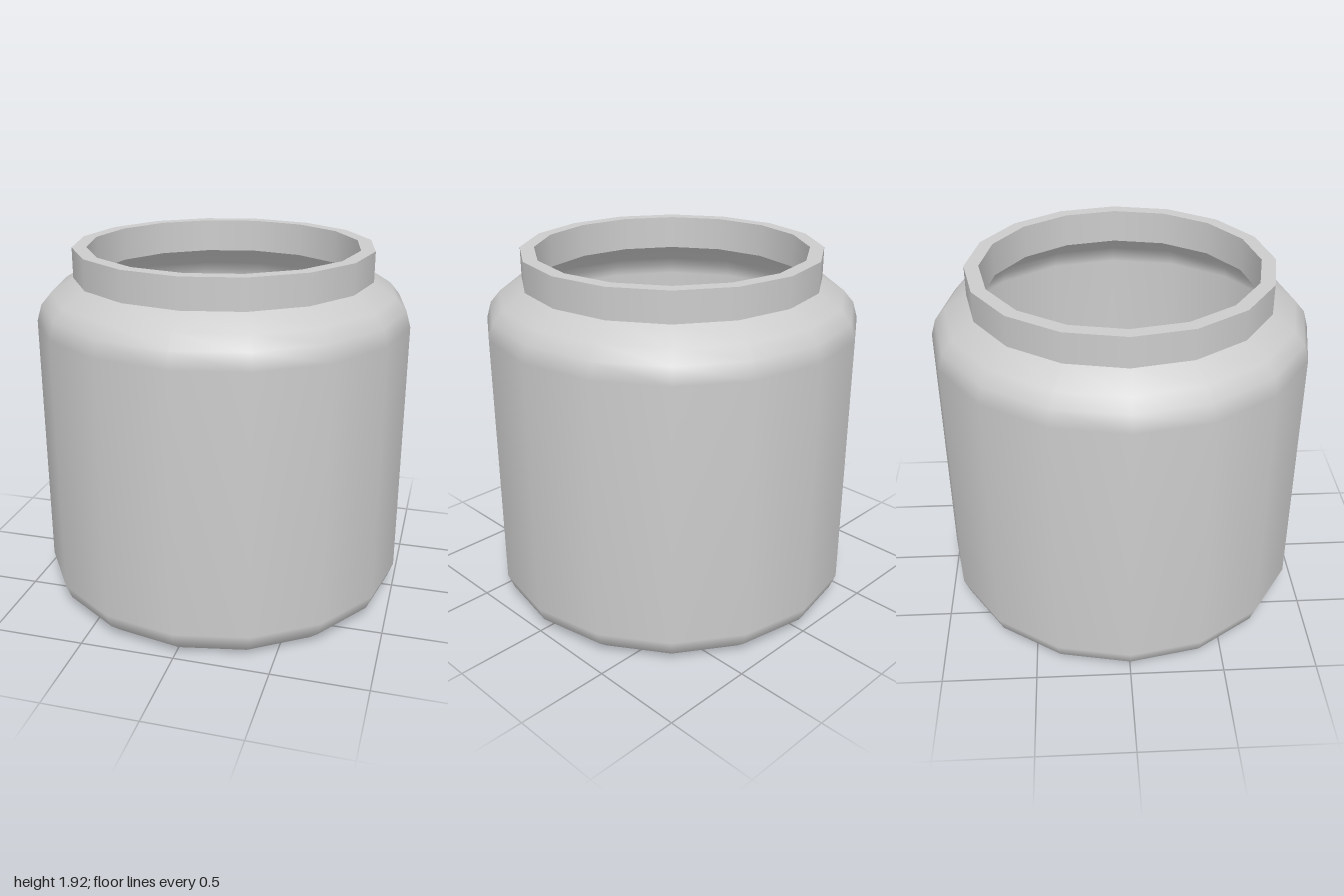
import * as THREE from 'three';

const SIDES = 16;

export function createModel() {
  const jar = new THREE.Group();
  jar.name = 'jar';
  const material = new THREE.MeshStandardMaterial({ color: 0xcccccc });

  // Each section is its own lathe, so shading is smooth within it and sharp where sections meet
  const addSection = (name, profile) => {
    const points = profile.map(([r, y]) => new THREE.Vector2(r, y));
    const mesh = new THREE.Mesh(new THREE.LatheGeometry(points, SIDES), material);
    mesh.name = name;
    jar.add(mesh);
  };

  // Outside, from the base up
  addSection('base', [[0, 0], [0.9, 0]]);
  addSection('body', [
    [0.9, 0], [0.97, 0.06], [1, 0.14], [1, 1.54],
    [0.975, 1.625], [0.92, 1.69], [0.8, 1.765],
  ]);
  addSection('neck', [[0.8, 1.765], [0.8, 1.925]]);

  // Flat lip, then the inside going down
  addSection('rim', [[0.8, 1.925], [0.725, 1.925]]);
  addSection('innerNeck', [[0.725, 1.925], [0.725, 1.745]]);
  addSection('innerWall', [
    [0.725, 1.745], [0.87, 1.64], [0.91, 1.59], [0.93, 1.53],
    [0.93, 0.15], [0.91, 0.1], [0.86, 0.07],
  ]);
  addSection('innerFloor', [[0.86, 0.07], [0, 0.07]]);

  return jar;
}
